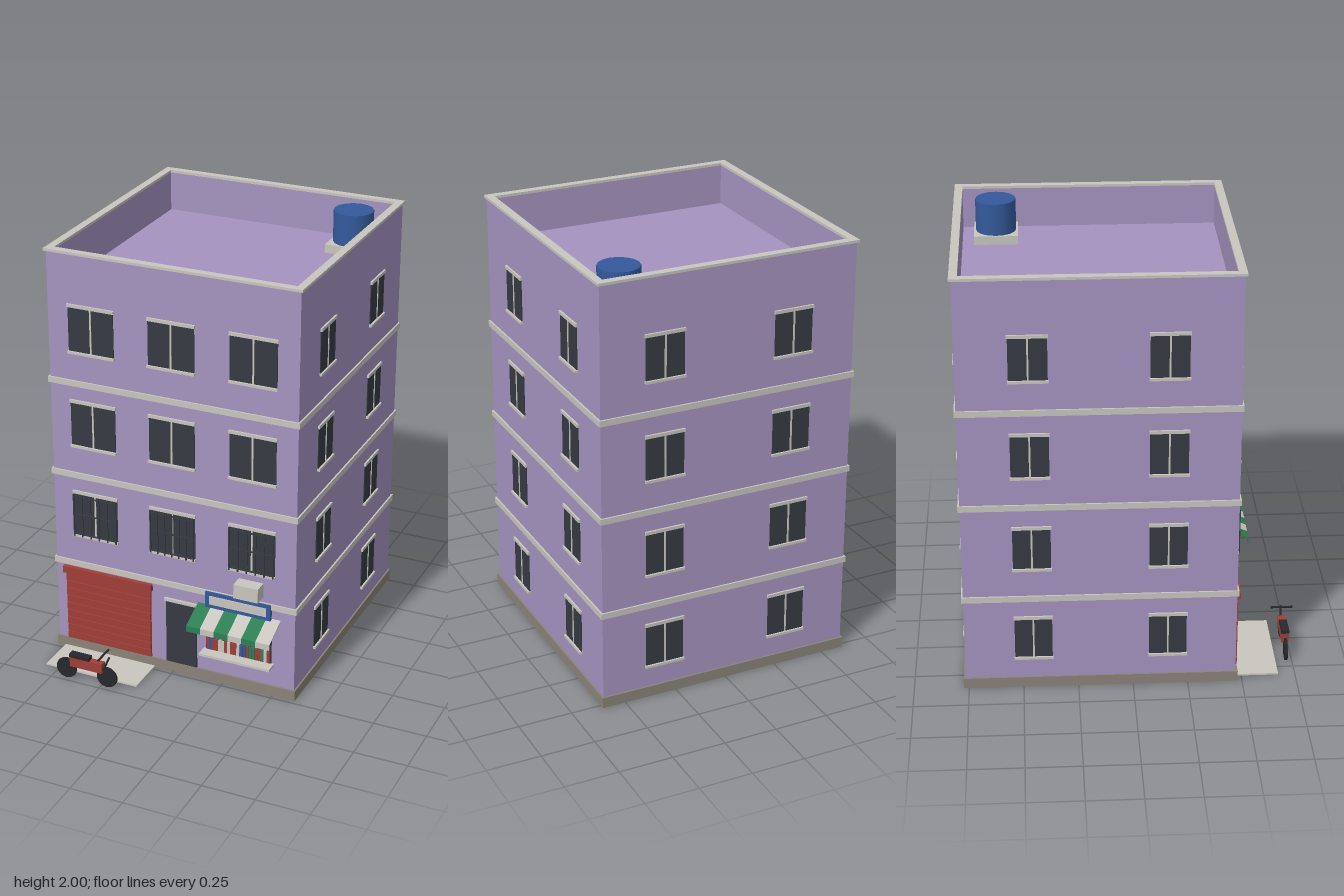
import * as THREE from 'three';

const mat = (name, color) => {
  const m = new THREE.MeshStandardMaterial({ color });
  m.name = name;
  return m;
};

export function createModel() {
  const wall = mat('lilac wall', 0xa593c0);
  const trim = mat('pale trim', 0xc8c6be);
  const glass = mat('dark glass', 0x363b42);
  const stone = mat('plinth stone', 0x8a8378);
  const red = mat('painted red', 0xa03f37);
  const green = mat('awning green', 0x2c7f55);
  const blue = mat('tank blue', 0x335a9c);
  const rubber = mat('black rubber', 0x26282c);

  const root = new THREE.Group();
  root.name = 'apartmentBuilding';
  const ZC = -0.147, HX = 0.602, HZ = 0.617, FRONT = ZC + HZ;

  const group = (name, parent = root) => {
    const g = new THREE.Group();
    g.name = name;
    parent.add(g);
    return g;
  };
  const add = (parent, name, geo, material) => {
    const m = new THREE.Mesh(geo, material);
    m.name = name;
    parent.add(m);
    return m;
  };
  // box given by its minimum and maximum on each axis
  const box = (parent, name, material, x0, x1, y0, y1, z0, z1) => {
    const m = add(parent, name, new THREE.BoxGeometry(x1 - x0, y1 - y0, z1 - z0), material);
    m.position.set((x0 + x1) / 2, (y0 + y1) / 2, (z0 + z1) / 2);
    return m;
  };
  // rectangular ring around the building
  const ring = (name, material, out, inset, y0, y1) => {
    const rect = (C, hx, hz) => new C([[-hx, -hz], [hx, -hz], [hx, hz], [-hx, hz]].map(p => new THREE.Vector2(...p)));
    const s = rect(THREE.Shape, HX + out, HZ + out);
    s.holes.push(rect(THREE.Path, HX - inset, HZ - inset));
    const m = add(root, name, new THREE.ExtrudeGeometry(s, { depth: y1 - y0, bevelEnabled: false }).rotateX(-Math.PI / 2), material);
    m.position.set(0, y0, ZC);
  };
  const rod = (parent, name, material, a, b, r) => {
    const va = new THREE.Vector3(...a), d = new THREE.Vector3(...b).sub(va);
    const m = add(parent, name, new THREE.CylinderGeometry(r, r, d.length(), 8), material);
    m.position.copy(va).addScaledVector(d, 0.5);
    m.quaternion.setFromUnitVectors(new THREE.Vector3(0, 1, 0), d.normalize());
  };

  // Shell
  box(root, 'plinth', stone, -HX - 0.008, HX + 0.008, 0, 0.05, ZC - HZ - 0.01, FRONT + 0.01);
  box(root, 'walls', wall, -HX, HX, 0.05, 1.8, ZC - HZ, FRONT);
  ring('parapet', wall, 0, 0.026, 1.8, 1.988);
  ring('parapetCap', trim, 0.009, 0.028, 1.988, 2);
  [0.46, 0.92, 1.378].forEach(y => ring('floorBand', trim, 0.008, 0.01, y - 0.014, y + 0.014));

  // Windows: built facing +z, then turned onto each wall
  const windowAt = (w, y0, y1, x, z, turn, grille) => {
    const g = group('window');
    g.position.set(x, 0, z);
    g.rotation.y = turn;
    const h = w / 2;
    box(g, 'pane', glass, -h, h, y0, y1, -0.005, 0.004);
    box(g, 'mullion', trim, -0.004, 0.004, y0, y1, -0.005, 0.007);
    box(g, 'lintel', trim, -h - 0.004, h + 0.004, y1 - 0.012, y1 + 0.003, -0.005, 0.009);
    box(g, 'sill', trim, -h - 0.004, h + 0.004, y0 - 0.004, y0 + 0.008, -0.005, 0.013);
    if (grille) {
      const n = grille;
      for (let i = 0; i <= n; i++) {
        const bx = -h + 0.004 + (w - 0.008) * i / n;
        box(g, 'grilleBar', glass, bx - 0.003, bx + 0.003, y0, y1 - 0.012, 0.012, 0.017);
      }
      [0.06, 0.5, 0.9].forEach(t => {
        const by = y0 + (y1 - y0) * t;
        box(g, 'grilleRail', glass, -h, h, by - 0.003, by + 0.003, 0.011, 0.016);
      });
    }
  };
  [0.61, 1.066, 1.526].forEach((y, floor) => [-0.39, 0, 0.39].forEach((x, i) =>
    windowAt(0.222, y, y + 0.228, x, FRONT, 0, floor ? 0 : i === 1 ? 6 : 5)));
  [0.15, 0.607, 1.063, 1.523].forEach(y => {
    [-0.304, 0.304].forEach(d => {
      windowAt(0.17, y, y + 0.215, HX, ZC + d, Math.PI / 2);
      windowAt(0.17, y, y + 0.215, -HX, ZC + d, -Math.PI / 2);
      windowAt(0.18, y, y + 0.215, d, ZC - HZ, Math.PI);
    });
  });

  // Rooftop water tank
  box(root, 'tankBase', trim, 0.33, 0.53, 1.8, 1.84, -0.685, -0.482);
  const tank = add(root, 'waterTank', new THREE.CylinderGeometry(0.093, 0.093, 0.15, 16), blue);
  tank.position.set(0.43, 1.915, -0.583);

  // Roller shutter and ramp
  const garage = group('garage');
  box(garage, 'shutter', red, -0.552, -0.114, 0.05, 0.41, FRONT - 0.01, FRONT + 0.005);
  for (let i = 0; i < 9; i++) {
    const y = 0.052 + i * 0.039;
    box(garage, 'slat', red, -0.55, -0.116, y, y + 0.034, FRONT, FRONT + 0.011);
  }
  box(garage, 'shutterHousing', red, -0.563, -0.106, 0.405, 0.438, FRONT - 0.01, FRONT + 0.021);
  box(garage, 'ramp', trim, -0.568, -0.096, 0, 0.008, FRONT, 0.672);

  // Entrance
  box(root, 'door', glass, -0.036, 0.118, 0.05, 0.372, FRONT - 0.01, FRONT + 0.007);
  box(root, 'doorLintel', trim, -0.044, 0.126, 0.372, 0.386, FRONT - 0.01, FRONT + 0.013);

  // Shop front with goods in two rows
  const shop = group('shop');
  box(shop, 'shopOpening', glass, 0.165, 0.49, 0.16, 0.39, FRONT - 0.01, FRONT + 0.005);
  const goods = { r: red, w: trim, b: blue, g: green };
  const rows = [
    ['rwrrbbgrrwrrbrrwrgrwr', 0.262, 0.325],
    ['rbrrwwrwrrwbbrggrrgwr', 0.17, 0.233],
  ];
  for (const [code, y0, y1] of rows) {
    const step = 0.316 / code.length;
    [...code].forEach((c, i) => {
      const x = 0.17 + i * step;
      box(shop, 'goods', goods[c], x, x + step - 0.001, y0, y1 - (i % 3) * 0.003, FRONT, FRONT + 0.013);
    });
  }
  box(shop, 'counter', trim, 0.153, 0.503, 0.154, 0.166, FRONT, 0.53);

  // Striped awning: a slope and a hanging valance, extruded from one side profile
  const profile = new THREE.Shape([[FRONT, 0.398], [0.6, 0.343], [0.6, 0.313], [0.597, 0.313], [0.597, 0.338], [FRONT, 0.392]]
    .map(([z, y]) => new THREE.Vector2(-z, y)));
  const stripe = 0.068;
  for (let i = 0; i < 6; i++) {
    const geo = new THREE.ExtrudeGeometry(profile, { depth: stripe, bevelEnabled: false }).rotateY(Math.PI / 2);
    add(shop, 'awningStripe', geo, i % 2 ? trim : green).position.x = 0.124 + i * stripe;
  }
  box(shop, 'signFrame', blue, 0.167, 0.488, 0.393, 0.472, FRONT, FRONT + 0.017);
  box(shop, 'signPanel', trim, 0.188, 0.468, 0.412, 0.455, FRONT + 0.012, FRONT + 0.021);
  box(root, 'airConditioner', trim, 0.327, 0.446, 0.5, 0.57, FRONT, 0.534);

  // Parked motorbike
  const bike = group('motorbike');
  const Z = 0.722;
  [-0.43, -0.221].forEach(x => {
    const w = add(bike, 'wheel', new THREE.CylinderGeometry(0.051, 0.051, 0.012, 14).rotateX(Math.PI / 2), rubber);
    w.position.set(x, 0.051, Z);
  });
  box(bike, 'bikeBody', red, -0.405, -0.24, 0.072, 0.12, Z - 0.017, Z + 0.017);
  box(bike, 'seat', rubber, -0.408, -0.306, 0.12, 0.136, Z - 0.018, Z + 0.018);
  rod(bike, 'fork', rubber, [-0.24, 0.085, Z], [-0.208, 0.157, Z], 0.005);
  rod(bike, 'handlebar', rubber, [-0.238, 0.164, Z - 0.052], [-0.238, 0.164, Z + 0.052], 0.005);
  return root;
}
